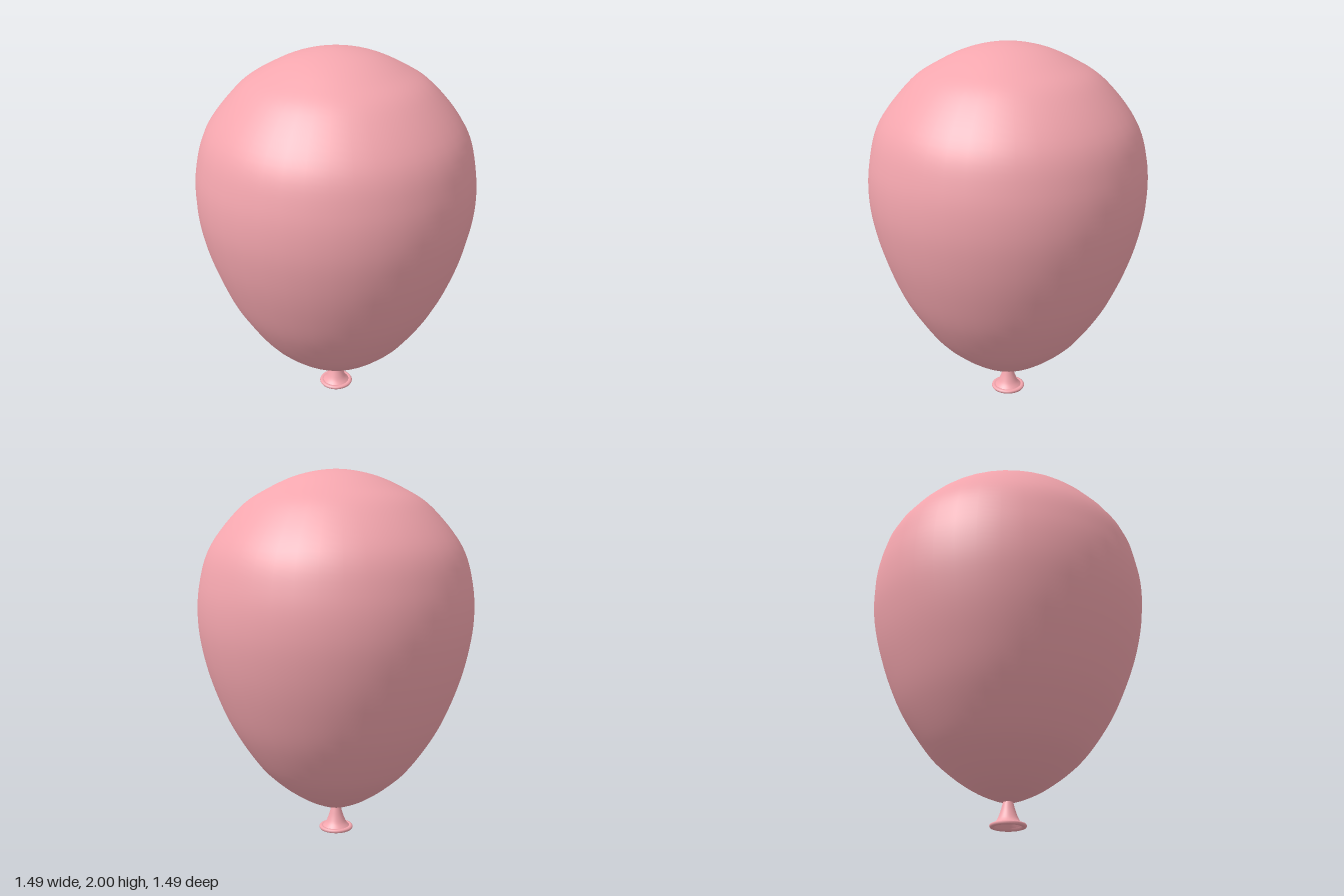
import * as THREE from 'three';

const SEGMENTS = 40;
const v = (p) => new THREE.Vector2(p[0], p[1]);

export function createModel() {
  const group = new THREE.Group();
  const material = new THREE.MeshStandardMaterial({ color: 0xf4a6ae, side: THREE.DoubleSide });

  function lathe(name, points) {
    const mesh = new THREE.Mesh(new THREE.LatheGeometry(points, SEGMENTS), material);
    mesh.name = name;
    group.add(mesh);
  }

  // Inflated body: smooth teardrop from the neck up to the crown.
  // The last point mirrors across the axis so the crown stays flat; the curve is cut at x = 0.
  const outline = new THREE.SplineCurve([
    [0.025, 0.13], [0.1, 0.157], [0.2, 0.208], [0.32, 0.295], [0.43, 0.405], [0.56, 0.6],
    [0.65, 0.8], [0.712, 1.0], [0.743, 1.2], [0.732, 1.4], [0.67, 1.6],
    [0.51, 1.8], [0.36, 1.9], [0.19, 1.972], [0, 2], [-0.19, 1.972],
  ].map(v));
  const body = outline.getPoints(90).filter((p) => p.x > 0.004);
  body.push(new THREE.Vector2(0, 2));
  lathe('balloonBody', body);

  // Flared neck below the body, open at the bottom.
  const flare = new THREE.SplineCurve([
    [0.074, 0.02], [0.056, 0.042], [0.041, 0.078], [0.031, 0.112], [0.025, 0.135],
  ].map(v));
  lathe('neck', flare.getPoints(14));

  // Rolled lip around the mouth of the neck.
  lathe('lip', [
    [0.066, 0.014], [0.072, 0.003], [0.082, 0], [0.091, 0.003], [0.095, 0.011],
    [0.092, 0.018], [0.084, 0.021], [0.074, 0.02], [0.066, 0.014],
  ].map(v));

  // Inner wall of the hollow neck, closing where it is pinched.
  lathe('neckInside', [
    [0, 0.1], [0.018, 0.09], [0.032, 0.07], [0.047, 0.042], [0.066, 0.014],
  ].map(v));

  return group;
}
